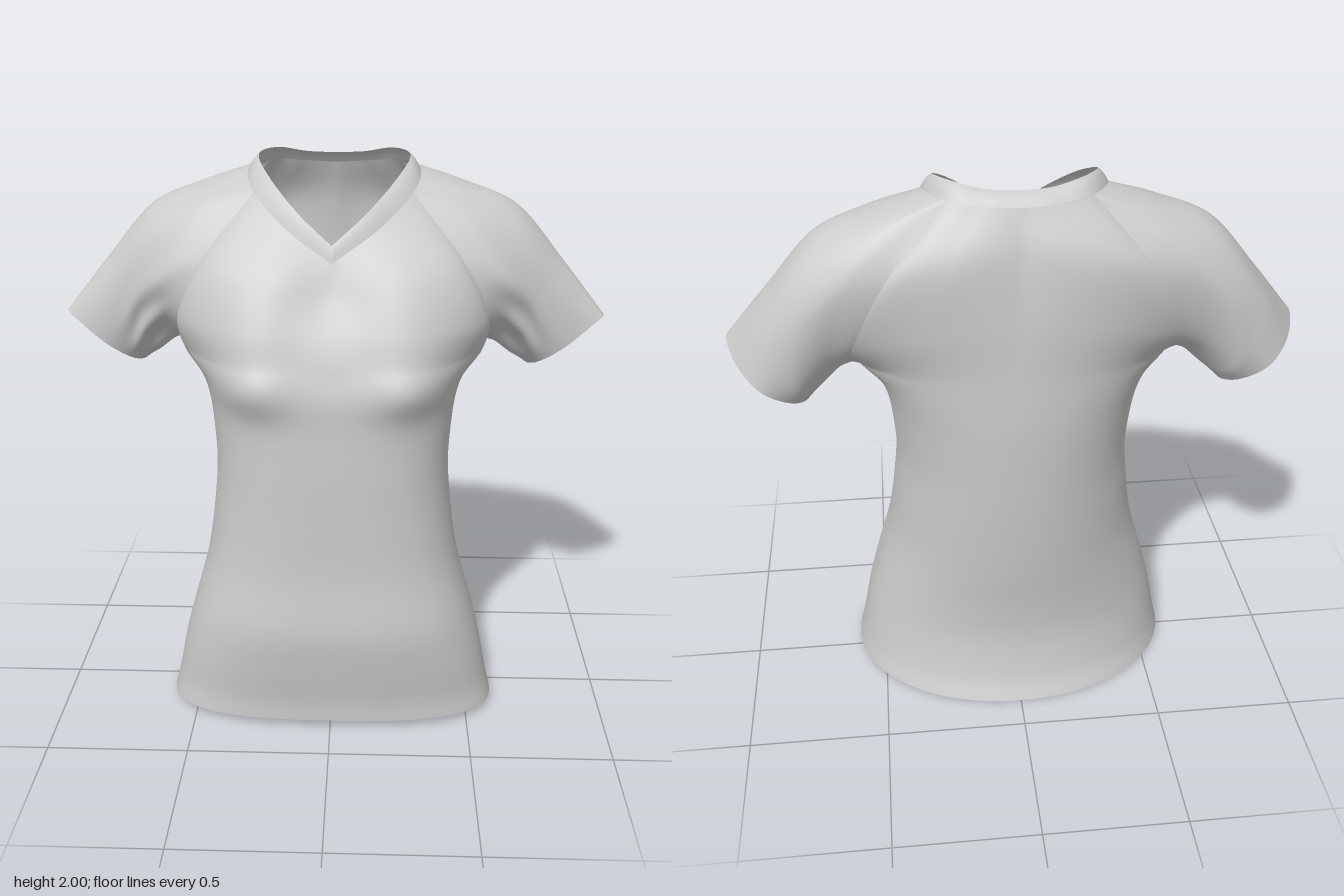
import * as THREE from 'three';
import { mergeGeometries, mergeVertices } from 'three/addons/utils/BufferGeometryUtils.js';

const V = (p) => new THREE.Vector3(...p);
const spline = (pts, closed = false) =>
  new THREE.CatmullRomCurve3(pts.map((p) => (p.isVector3 ? p : V(p))), closed, 'catmullrom', 0.5);

// Surface grid from fn(u, v); side = -1 mirrors it across x = 0
function grid(fn, nu, nv, side) {
  const pos = [], idx = [];
  for (let j = 0; j <= nv; j++)
    for (let i = 0; i <= nu; i++) {
      const p = fn(i / nu, j / nv);
      pos.push(p.x * side, p.y, p.z);
    }
  for (let j = 0; j < nv; j++)
    for (let i = 0; i < nu; i++) {
      const a = j * (nu + 1) + i, b = a + 1, c = a + nu + 1, d = c + 1;
      if (side > 0) idx.push(a, b, d, a, d, c);
      else idx.push(a, d, b, a, c, d);
    }
  const g = new THREE.BufferGeometry();
  g.setAttribute('position', new THREE.Float32BufferAttribute(pos, 3));
  g.setIndex(idx);
  return g;
}

// Patch filling four boundary curves: bottom, top (along u), start, end (along v)
function coons(B, T, C, S) {
  return (u, v) => {
    const p = new THREE.Vector3();
    const add = (q, w) => p.addScaledVector(q, w);
    add(B(u), 1 - v); add(T(u), v); add(C(v), 1 - u); add(S(v), u);
    add(B(0), -(1 - u) * (1 - v)); add(B(1), -u * (1 - v));
    add(T(0), -(1 - u) * v); add(T(1), -u * v);
    return p;
  };
}

// Torso sections: height, half width, z of side, z of front, z of back
const sections = [
  [0.017, 0.6, 0.06, 0.35, -0.38], [0.1, 0.58, 0.05, 0.355, -0.345],
  [0.25, 0.55, 0.04, 0.38, -0.32], [0.4, 0.51, 0.03, 0.395, -0.325],
  [0.6, 0.455, 0.02, 0.375, -0.35], [0.8, 0.425, 0, 0.37, -0.37],
  [0.97, 0.412, -0.01, 0.368, -0.382], [1.15, 0.425, -0.04, 0.363, -0.39],
  [1.26, 0.447, -0.07, 0.36, -0.39], [1.36, 0.475, -0.09, 0.337, -0.387],
];
const sideLine = spline(sections.map(([y, w, zc]) => [w, y, zc]));
const depthLine = spline(sections.map(([y, , , f, b]) => [f, y, b]));

// u: 0 front centre, 0.5 side, 1 back centre; v: hem to armpit
function torso(u, v) {
  const s = sideLine.getPoint(v), d = depthLine.getPoint(v);
  const a = u * Math.PI, front = u <= 0.5, e = front ? 2 / 2.8 : 2 / 2.05;
  const c = Math.pow(Math.abs(Math.cos(a)), e);
  const sn = u === 1 ? 0 : Math.sin(a);
  // The side flares into the underarm
  const x = s.x * Math.pow(sn, e) + 0.055 * sn ** 8 * Math.exp(-(((1.36 - s.y) / 0.06) ** 2));
  let z = s.z + c * ((front ? d.x : d.z) - s.z);
  // Bust
  if (front) z += 0.062 * c * Math.exp(-(((x - 0.28) / 0.14) ** 2) - ((s.y - 1.31) / 0.1) ** 2);
  return new THREE.Vector3(x, s.y + 0.045 * z * Math.max(0, 1 - s.y / 1.36), z);
}

// Collar seam (outer edge) and neckline (inner edge), half from front to back
const collarSeam = spline([[0, 1.685, 0.19], [0.15, 1.785, 0.13], [0.265, 1.885, 0.015],
  [0.292, 1.943, -0.13], [0.225, 1.953, -0.262], [0.11, 1.942, -0.3], [0, 1.935, -0.308]]);
const neckline = spline([[0, 1.74, 0.17], [0.115, 1.838, 0.115], [0.21, 1.93, 0.005],
  [0.257, 1.988, -0.125], [0.2, 1.998, -0.225], [0.1, 1.98, -0.258], [0, 1.975, -0.265]]);
function collar(u, v) {
  const p = collarSeam.getPoint(u).lerp(neckline.getPoint(u), v);
  p.y += 0.008 * Math.sin(Math.PI * v);
  return p;
}

// Raglan seam from collar down the front, under the arm and up the back
const raglan = spline([collarSeam.getPoint(1 / 3), [0.44, 1.67, 0.115], [0.53, 1.48, 0.07],
  torso(0.5, 1), [0.54, 1.45, -0.26], [0.42, 1.72, -0.342], collarSeam.getPoint(2 / 3)]);
// Whole sleeve opening as one loop, starting at the side of the neck
function opening(u) {
  if (u >= 1 / 8 && u <= 7 / 8) return raglan.getPoint((u - 1 / 8) / 0.75);
  return collarSeam.getPoint(0.5 - (u > 0.5 ? u - 1 : u) * 4 / 3);
}

// Sleeve loops towards the cuff, each: top, front x3, underarm, back x3
const loops = [
  [[0.45, 1.895, -0.14], [0.465, 1.83, 0.01], [0.57, 1.62, 0.08], [0.585, 1.46, 0.025],
    [0.57, 1.345, -0.1], [0.61, 1.42, -0.26], [0.56, 1.68, -0.332], [0.45, 1.86, -0.28]],
  [[0.63, 1.82, -0.13], [0.64, 1.74, -0.01], [0.665, 1.55, 0.03], [0.65, 1.4, -0.01],
    [0.625, 1.3, -0.12], [0.68, 1.36, -0.27], [0.69, 1.57, -0.315], [0.65, 1.76, -0.26]],
  [[0.79, 1.64, -0.11], [0.775, 1.57, -0.02], [0.735, 1.44, 0], [0.69, 1.33, -0.04],
    [0.66, 1.275, -0.145], [0.71, 1.32, -0.27], [0.76, 1.45, -0.3], [0.79, 1.59, -0.25]],
  [[0.945, 1.45, -0.08], [0.89, 1.415, -0.03], [0.8, 1.34, -0.02], [0.72, 1.275, -0.07],
    [0.69, 1.25, -0.17], [0.74, 1.275, -0.25], [0.83, 1.34, -0.285], [0.905, 1.41, -0.22]],
].map((l) => spline(l, true));

function sleeve(u, v) {
  const p = spline([opening(u), ...loops.map((l) => l.getPoint(u % 1))]).getPoint(v);
  // Soft folds at the front of the underarm
  p.z += 0.012 * Math.sin(Math.PI * v) ** 2 * Math.sin(u * 56) * Math.exp(-(((u - 0.36) / 0.1) ** 2));
  return p;
}

// Bends the foot of an upper panel so that it continues the slope of the torso
function continueTorso(patch, torsoU, fade) {
  const e = 0.01;
  return (u, v) => {
    const p = patch(u, v), a = patch(u, 0), b = patch(u, e), t = torso(torsoU(u), 1 - e);
    const weight = v * (1 - v) ** 3 * fade(u) / e;
    for (const k of ['x', 'z']) {
      const slope = (a[k] - t[k]) / (a.y - t.y);
      p[k] += (slope * (b.y - a.y) - (b[k] - a[k])) * weight;
    }
    return p;
  };
}

// Upper panels between armpit line, raglan seam and collar
const frontCentre = spline([torso(0, 1), [0, 1.47, 0.29], [0, 1.58, 0.23], [0, 1.685, 0.19]]);
const backCentre = spline([torso(1, 1), [0, 1.6, -0.378], [0, 1.8, -0.352], [0, 1.935, -0.308]]);
const frontPanel = continueTorso(coons(
  (u) => torso(u / 2, 1), (u) => collarSeam.getPoint(u / 3),
  (v) => frontCentre.getPoint(v), (v) => raglan.getPoint((1 - v) / 2)),
(u) => u / 2, (u) => 1 - u ** 4);
const backPanel = continueTorso(coons(
  (u) => torso(0.5 + u / 2, 1), (u) => collarSeam.getPoint((2 + u) / 3),
  (v) => raglan.getPoint((1 + v) / 2), (v) => backCentre.getPoint(v)),
(u) => 0.5 + u / 2, (u) => 1 - (1 - u) ** 4);

export function createModel() {
  const group = new THREE.Group();
  const material = new THREE.MeshStandardMaterial({ color: 0xcccccc, side: THREE.DoubleSide });
  const addMesh = (name, parts) => {
    const g = mergeVertices(mergeGeometries(parts), 1e-4);
    g.computeVertexNormals();
    const mesh = new THREE.Mesh(g, material);
    mesh.name = name;
    group.add(mesh);
  };
  const sides = [1, -1];
  addMesh('body', sides.flatMap((s) => [
    grid(torso, 64, 60, s), grid(frontPanel, 32, 36, s), grid(backPanel, 32, 36, s)]));
  addMesh('collar', sides.map((s) => grid(collar, 72, 4, s)));
  addMesh('leftSleeve', [grid(sleeve, 96, 40, 1)]);
  addMesh('rightSleeve', [grid(sleeve, 96, 40, -1)]);
  return group;
}
